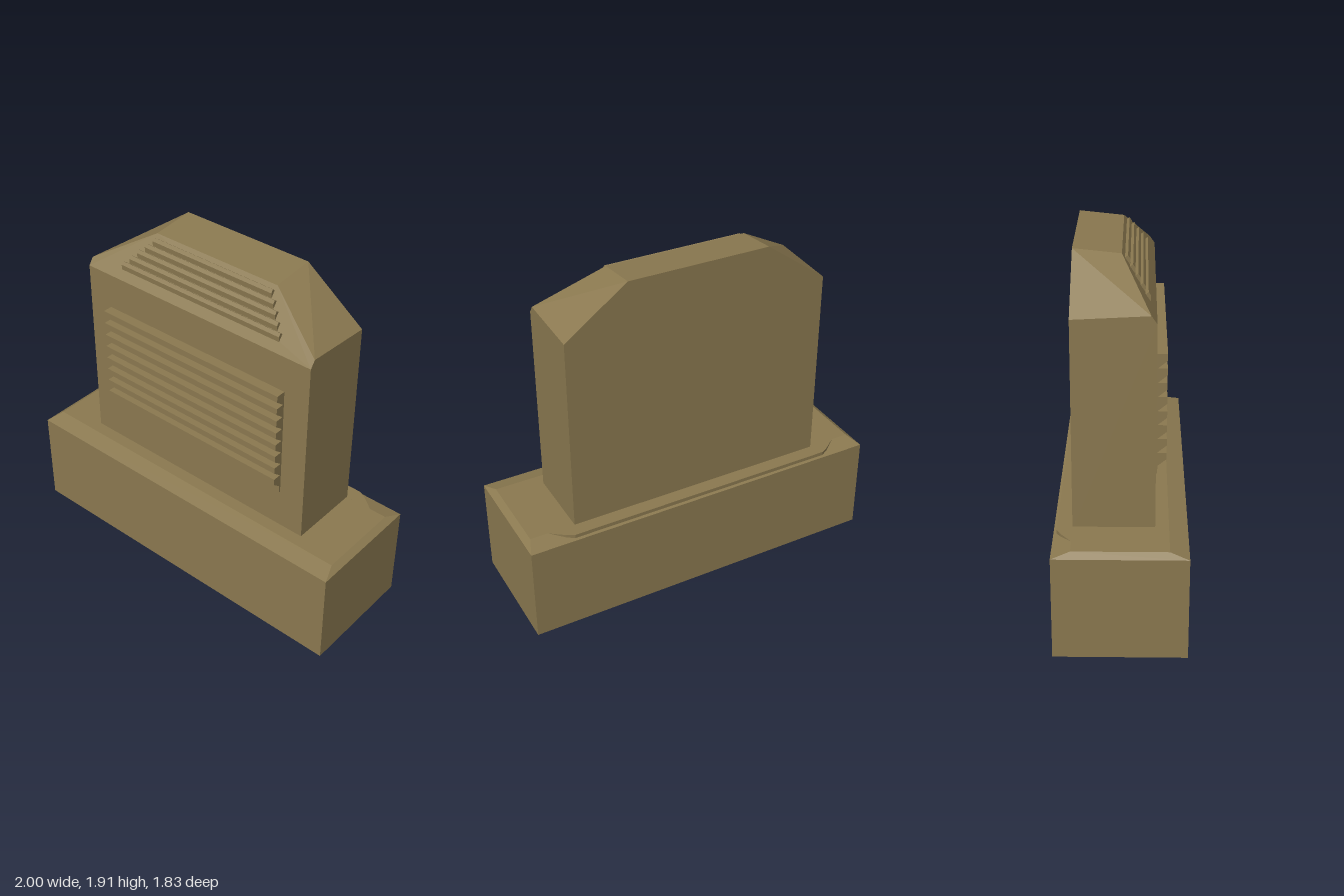
import * as THREE from 'three';
import { ConvexGeometry } from 'three/addons/geometries/ConvexGeometry.js';

const material = new THREE.MeshStandardMaterial({ color: 0x8b7950, flatShading: true, side: THREE.DoubleSide });

function part(name, geometry) {
  const mesh = new THREE.Mesh(geometry, material);
  mesh.name = name;
  return mesh;
}

// Convex block from [x, y, z] corners, mirrored across x
function block(name, corners) {
  const points = corners.flatMap(([x, y, z]) => [new THREE.Vector3(x, y, z), new THREE.Vector3(-x, y, z)]);
  return part(name, new ConvexGeometry(points));
}

// Louver slat: flat top, upright lip, underside slanting back to the wall at z = 0
function slat(name, halfWidth, top, height, out) {
  const lip = top - height * 0.47;
  const shape = new THREE.Shape([[-0.01, top], [out, top], [out, lip], [0, top - height * 0.97], [-0.01, top - height * 0.97]]
    .map(([z, y]) => new THREE.Vector2(z, y)));
  const geometry = new THREE.ExtrudeGeometry(shape, { depth: 2 * halfWidth, bevelEnabled: false });
  geometry.rotateY(-Math.PI / 2).translate(halfWidth, 0, 0);
  return part(name, geometry);
}

export function createModel() {
  const model = new THREE.Group();
  model.name = 'ventHousing';
  model.rotation.y = THREE.MathUtils.degToRad(-40);

  // Plinth with a shallow bevelled top
  const plinth = [];
  for (const s of [-1, 1]) plinth.push([1.023, 0, 0.336 * s], [1.023, 0.55, 0.336 * s], [0.987, 0.575, 0.24 * s]);
  model.add(block('base', plinth));

  // Thin pad reaching towards the back edge of the plinth
  const pad = new THREE.Shape([[-0.89, 0.24], [-0.81, 0.30], [-0.77, 0.32], [0.77, 0.32], [0.81, 0.30], [0.89, 0.24]]
    .map(([x, y]) => new THREE.Vector2(x, y)));
  const padGeometry = new THREE.ExtrudeGeometry(pad, { depth: 0.022, bevelEnabled: false });
  padGeometry.rotateX(-Math.PI / 2).translate(0, 0.553, 0);
  model.add(part('backPad', padGeometry));

  // Upright body with chamfered ends and a sloping front shoulder
  model.add(block('body', [
    [0.738, 0.56, -0.242], [0.738, 0.56, 0.171],
    [0.738, 1.66, -0.242], [0.738, 1.64, 0.171], [0.738, 1.68, 0.143],
    [0.394, 1.91, -0.242], [0.394, 1.885, 0],
  ]));

  // Front louver panel
  const frontVent = new THREE.Group();
  frontVent.name = 'frontVent';
  frontVent.position.z = 0.18;
  const panel = part('ventPanel', new THREE.BoxGeometry(1.18, 0.64, 0.02));
  panel.position.set(0, 1.12, -0.01);
  frontVent.add(panel);
  for (let i = 0; i < 8; i++) frontVent.add(slat('frontSlat', 0.59, 1.44 - i * 0.075, 0.075, 0.046));
  model.add(frontVent);

  // Tapering louvers lying on the front shoulder
  const topVent = new THREE.Group();
  topVent.name = 'shoulderVent';
  topVent.position.set(0, 1.885, 0);
  topVent.rotation.x = -Math.atan2(0.171, 0.245);
  for (let i = 0; i < 5; i++) topVent.add(slat('shoulderSlat', 0.39 + i * 0.033, -0.026 - i * 0.044, 0.044, 0.018));
  model.add(topVent);

  const root = new THREE.Group();
  root.name = 'model';
  root.add(model);
  return root;
}
